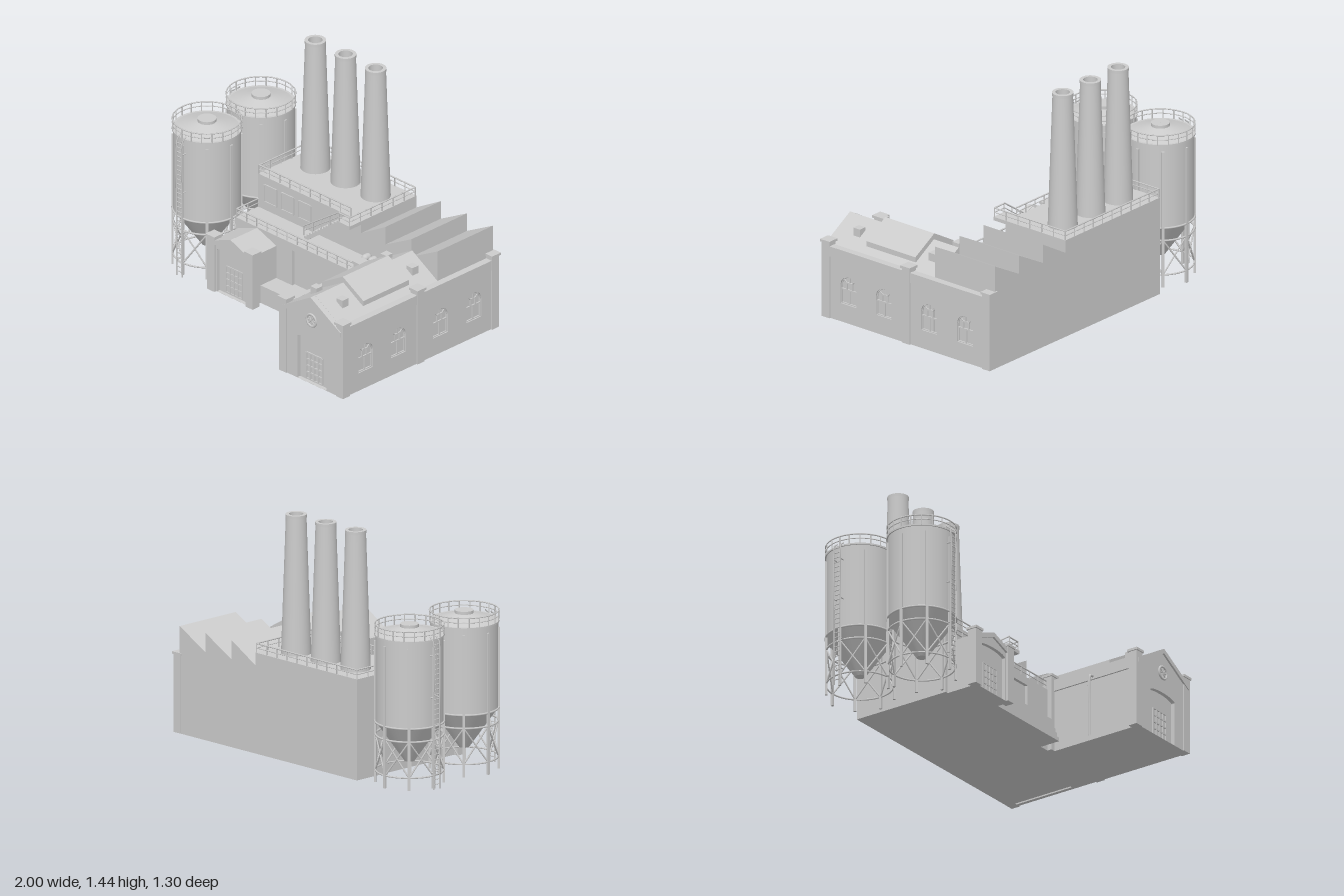
import * as THREE from 'three';

const mat = new THREE.MeshStandardMaterial({ color: 0xcccccc, side: THREE.DoubleSide });
const V = (x, y, z) => new THREE.Vector3(x, y, z);

function add(parent, name, geo, x = 0, y = 0, z = 0) {
  const m = new THREE.Mesh(geo, mat);
  m.name = name;
  m.position.set(x, y, z);
  parent.add(m);
  return m;
}

function group(parent, name, x = 0, y = 0, z = 0) {
  const g = new THREE.Group();
  g.name = name;
  g.position.set(x, y, z);
  parent.add(g);
  return g;
}

// Box given by its limits on each axis
function block(p, name, x0, x1, y0, y1, z0, z1) {
  return add(p, name, new THREE.BoxGeometry(x1 - x0, y1 - y0, z1 - z0), (x0 + x1) / 2, (y0 + y1) / 2, (z0 + z1) / 2);
}

// Thin round bar between two points
function bar(p, name, a, b, r = 0.004) {
  const d = b.clone().sub(a);
  const m = add(p, name, new THREE.CylinderGeometry(r, r, d.length(), 6));
  m.position.copy(a).add(b).multiplyScalar(0.5);
  m.quaternion.setFromUnitVectors(V(0, 1, 0), d.normalize());
  return m;
}

// Outline in x-y, pushed from z0 to z1
function prism(p, name, pts, z0, z1, holes = []) {
  const s = new THREE.Shape(pts.map(([x, y]) => new THREE.Vector2(x, y)));
  s.holes.push(...holes);
  return add(p, name, new THREE.ExtrudeGeometry(s, { depth: z1 - z0, bevelEnabled: false, curveSegments: 16 }), 0, 0, z0);
}

// Opening with a curved head
function arch(cx, w, y0, y1, rise) {
  const s = new THREE.Path();
  s.moveTo(cx - w / 2, y0);
  s.lineTo(cx + w / 2, y0);
  s.lineTo(cx + w / 2, y1);
  s.absellipse(cx, y1, w / 2, rise, 0, Math.PI, false, 0);
  s.lineTo(cx - w / 2, y0);
  return s;
}

// Handrail with posts along a path
function railing(p, name, pts, h = 0.055, gap = 0.085) {
  const g = group(p, name), up = k => V(0, h * k, 0);
  for (let i = 0; i + 1 < pts.length; i++) {
    const a = pts[i], b = pts[i + 1], n = Math.max(1, Math.round(a.distanceTo(b) / gap));
    for (const k of [0.5, 1]) bar(g, 'rail', a.clone().add(up(k)), b.clone().add(up(k)), k === 1 ? 0.0045 : 0.003);
    for (let j = 0; j <= n; j++) {
      const q = a.clone().lerp(b, j / n);
      bar(g, 'post', q, q.clone().add(up(1)));
    }
  }
}

function pilaster(p, x, z, h) {
  const g = group(p, 'pilaster', x, 0, z), r = 0.029;
  block(g, 'shaft', -r, r, 0, h - 0.015, -r, r);
  block(g, 'cap', -0.036, 0.036, h - 0.015, h, -0.036, 0.036);
}

// Grid of glazing bars
function grille(p, x0, x1, y0, y1, z, nx, ny, t = 0.004) {
  const g = group(p, 'grille');
  for (let i = 0; i <= nx; i++) { const x = x0 + (x1 - x0) * i / nx; block(g, 'upright', x - t, x + t, y0, y1, z - t, z + t); }
  for (let i = 0; i <= ny; i++) { const y = y0 + (y1 - y0) * i / ny; block(g, 'crossbar', x0, x1, y - t, y + t, z - t, z + t); }
}

// Gabled front wall with an arched doorway
function gableFront(p, cx, half, eave, peak, z, doorW) {
  const g = group(p, 'gableFront');
  prism(g, 'frontWall', [[cx - half, 0], [cx + half, 0], [cx + half, eave], [cx, peak], [cx - half, eave]], z - 0.025, z,
    [arch(cx, doorW, 0.001, 0.27, 0.025)]);
  for (const s of [-1, 1]) {
    prism(g, 'coping', [[cx, peak], [cx, peak - 0.03], [cx + s * half, eave - 0.03], [cx + s * half, eave]], z - 0.03, z + 0.012);
  }
  grille(g, cx - doorW * 0.27, cx + doorW * 0.27, 0.01, 0.18, z - 0.022, 4, 4);
  return g;
}

function silo(p, x, z, ladderTurn) {
  const g = group(p, 'silo', x, 0, z), R = 0.198;
  const profile = [[0.001, 0.13], [0.03, 0.13], [R, 0.37], [R, 0.885], [0.205, 0.885], [0.205, 0.895], [0.19, 0.895], [0.055, 0.935], [0.055, 0.953], [0.001, 0.953]];
  // Doubled points keep the profile corners sharp
  for (let i = 0; i + 1 < profile.length; i++) {
    add(g, 'shell', new THREE.LatheGeometry([profile[i], profile[i + 1]].map(q => new THREE.Vector2(...q)), 40));
  }
  const at = (a, y, r = 0.2) => V(Math.sin(a) * r, y, Math.cos(a) * r);
  const ring = (name, y, t, r = 0.202) => { add(g, name, new THREE.TorusGeometry(r, t, 6, 40), 0, y, 0).rotation.x = Math.PI / 2; };
  ring('hopperRing', 0.37, 0.006);
  ring('upperTie', 0.29, 0.006, 0.198);
  ring('lowerTie', 0.075, 0.005, 0.198);
  ring('midRail', 0.925, 0.003);
  ring('topRail', 0.953, 0.004);
  for (let i = 0; i < 8; i++) {
    const a = i * Math.PI / 4, b = a + Math.PI / 4;
    const leg = add(g, 'leg', new THREE.BoxGeometry(0.016, 0.85, 0.014), Math.sin(a) * 0.2, 0.425, Math.cos(a) * 0.2);
    leg.rotation.y = a;
    bar(g, 'brace', at(a, 0.075, 0.198), at(b, 0.29, 0.198), 0.005);
    bar(g, 'brace', at(b, 0.075, 0.198), at(a, 0.29, 0.198), 0.005);
  }
  for (let i = 0; i < 20; i++) bar(g, 'railPost', at(i * Math.PI / 10, 0.89, 0.202), at(i * Math.PI / 10, 0.953, 0.202));
  // Ladder with hooked top
  const l = group(g, 'ladder');
  l.rotation.y = ladderTurn;
  for (const s of [-0.023, 0.023]) {
    const path = new THREE.CatmullRomCurve3([V(s, 0, 0.226), V(s, 0.45, 0.226), V(s, 0.87, 0.226), V(s, 0.9, 0.218), V(s, 0.91, 0.195)]);
    add(l, 'ladderSide', new THREE.TubeGeometry(path, 24, 0.0045, 6));
    for (const y of [0.1, 0.29, 0.55, 0.8]) bar(l, 'bracket', V(s, y, 0.198), V(s, y, 0.226));
  }
  for (let y = 0.03; y < 0.89; y += 0.03) bar(l, 'rung', V(-0.023, y, 0.226), V(0.023, y, 0.226), 0.003);
}

export function createModel() {
  const root = new THREE.Group();
  root.name = 'factory';

  // Boiler house and the lower hall before it
  const main = group(root, 'boilerHouse');
  block(main, 'upperBlock', -0.535, 0.31, 0, 0.607, -0.64, -0.185);
  block(main, 'lowerBlock', -0.535, 0.5, 0, 0.39, -0.185, -0.02);
  prism(main, 'hallFront', [[-0.535, 0], [0.5, 0], [0.5, 0.39], [-0.535, 0.39]], -0.02, 0, [arch(0.1, 0.34, 0.115, 0.344, 0.0005)]);
  for (const x of [-0.43, -0.29, -0.15]) {
    block(main, 'windowPane', x - 0.045, x + 0.045, 0.45, 0.55, -0.186, -0.182);
    grille(main, x - 0.05, x + 0.05, 0.445, 0.555, -0.182, 1, 1);
  }
  const sideWindow = group(main, 'sideWindow', -0.535, 0, -0.25);
  sideWindow.rotation.y = -Math.PI / 2;
  grille(sideWindow, -0.05, 0.05, 0.445, 0.555, 0, 1, 1);

  // Chimneys
  for (const x of [-0.355, -0.107, 0.14]) {
    const c = group(root, 'chimney', x, 0, -0.475);
    for (const [a, b] of [[[0.088, 0.607], [0.06, 1.435]], [[0.063, 1.425], [0.063, 1.443]], [[0.063, 1.443], [0.042, 1.443]], [[0.042, 1.443], [0.042, 1.2]], [[0.042, 1.2], [0.001, 1.2]]]) {
      add(c, 'stack', new THREE.LatheGeometry([new THREE.Vector2(...a), new THREE.Vector2(...b)], 32));
    }
  }

  // Roof railings
  railing(main, 'upperRailing', [V(0.22, 0.607, -0.19), V(-0.53, 0.607, -0.19), V(-0.53, 0.607, -0.635), V(0.305, 0.607, -0.635), V(0.305, 0.607, -0.095), V(0.22, 0.607, -0.095)]);
  railing(main, 'lowerRailing', [V(-0.53, 0.39, -0.185), V(-0.53, 0.39, -0.005), V(0.46, 0.39, -0.005)]);

  // Roof stair and landing
  const steps = [[-0.07, 0.39]], n = 13;
  for (let i = 0; i < n; i++) {
    const x = -0.07 + i * 0.29 / n, y = 0.39 + (i + 1) * 0.217 / n;
    steps.push([x, y], [x + 0.29 / n, y]);
  }
  steps.push([0.22, 0.58], [-0.035, 0.39]);
  prism(main, 'roofStair', steps, -0.18, -0.095);
  block(main, 'landing', 0.22, 0.31, 0.585, 0.607, -0.186, -0.09);
  railing(main, 'stairRail', [V(-0.07, 0.41, -0.095), V(0.22, 0.607, -0.095)], 0.06);

  // Roof vents
  for (const x of [0.385, 0.437]) {
    add(main, 'ventBody', new THREE.CapsuleGeometry(0.022, 0.02, 6, 14), x, 0.412, -0.155).rotation.x = Math.PI / 2;
  }

  // Saw-tooth hall
  const saw = [[0.31, 0], [0.94, 0], [0.94, 0.645], [0.725, 0.53], [0.725, 0.645], [0.51, 0.53], [0.51, 0.645], [0.31, 0.53]];
  prism(root, 'sawToothHall', saw, -0.64, -0.185);

  // East wing with gable roof
  const wing = group(root, 'eastWing');
  prism(wing, 'wingBody', [[0.495, 0], [0.955, 0], [0.955, 0.44], [0.73, 0.573], [0.495, 0.44]], -0.185, 0.61);
  prism(wing, 'roofMonitor', [[0.565, 0.42], [0.885, 0.42], [0.885, 0.48], [0.895, 0.48], [0.895, 0.512], [0.725, 0.609], [0.555, 0.512], [0.555, 0.48], [0.565, 0.48]], 0.005, 0.38);
  for (const x of [0.617, 0.83]) for (const z of [-0.087, 0.488]) block(wing, 'roofVent', x - 0.025, x + 0.025, 0.47, 0.548, z - 0.025, z + 0.025);
  const front = gableFront(wing, 0.727, 0.245, 0.43, 0.573, 0.635, 0.24);
  add(front, 'roundWindowRim', new THREE.TorusGeometry(0.038, 0.007, 8, 28), 0.727, 0.42, 0.638);
  for (let i = 0; i < 4; i++) {
    const a = i * Math.PI / 4, c = Math.cos(a) * 0.038, s = Math.sin(a) * 0.038;
    bar(front, 'roundWindowSpoke', V(0.727 - c, 0.42 - s, 0.638), V(0.727 + c, 0.42 + s, 0.638), 0.003);
  }
  for (const [x, z] of [[0.493, 0], [0.493, 0.612], [0.959, 0.612], [0.959, 0], [0.959, -0.612]]) pilaster(wing, x, z, 0.485);
  block(wing, 'westParapet', 0.485, 0.515, 0.38, 0.452, 0.03, 0.585);

  // East wall with arched windows; its local x runs towards the back
  const east = group(wing, 'eastWall', 0.955, 0, 0);
  east.rotation.y = Math.PI / 2;
  const bays = [-0.445, -0.175, 0.17, 0.445];
  prism(east, 'wallPanel', [[-0.63, 0], [0.64, 0], [0.64, 0.452], [-0.63, 0.452]], 0, 0.023, bays.map(x => arch(x, 0.12, 0.115, 0.23, 0.06)));
  for (const s of [-1, 1]) block(east, 'parapetBand', s * 0.308 - 0.277, s * 0.308 + 0.277, 0.39, 0.452, -0.015, 0.03);
  for (const x of bays) {
    grille(east, x - 0.058, x + 0.058, 0.117, 0.205, 0.012, 2, 1);
    grille(east, x - 0.02, x + 0.02, 0.205, 0.25, 0.012, 1, 1);
    const rim = add(east, 'windowArch', new THREE.TorusGeometry(0.057, 0.004, 6, 20, Math.PI), x, 0.23, 0.012);
    rim.name = 'windowArch';
    bar(east, 'windowBar', V(x, 0.25, 0.012), V(x, 0.287, 0.012));
    for (const s of [-1, 1]) bar(east, 'windowBar', V(x + s * 0.02, 0.25, 0.012), V(x + s * 0.04, 0.27, 0.012));
  }

  // Drainpipe on the wing's inner wall
  const drain = new THREE.CatmullRomCurve3([V(0.495, 0.4, 0.31), V(0.46, 0.395, 0.31), V(0.452, 0.37, 0.31), V(0.452, 0.2, 0.31), V(0.452, 0.01, 0.31)]);
  add(wing, 'drainpipe', new THREE.TubeGeometry(drain, 24, 0.008, 8));

  // Gabled porch
  const porch = group(root, 'porch');
  prism(porch, 'porchBody', [[-0.515, 0], [-0.2, 0], [-0.2, 0.325], [-0.3575, 0.385], [-0.515, 0.325]], -0.01, 0.185);
  gableFront(porch, -0.3575, 0.16, 0.325, 0.387, 0.208, 0.245);
  for (const x of [-0.515, -0.2]) pilaster(porch, x, 0.195, 0.362);

  // Loading platform with steps
  const dock = [[-0.2, 0], [0.4, 0]];
  for (let i = 0; i < 5; i++) dock.push([0.4 - i * 0.018, (i + 1) * 0.023], [0.4 - (i + 1) * 0.018, (i + 1) * 0.023]);
  dock.push([-0.2, 0.115]);
  prism(root, 'loadingPlatform', dock, 0, 0.13);

  // Silos
  silo(root, -0.77, 0, 0);
  silo(root, -0.77, -0.443, -Math.PI / 2);
  return root;
}
